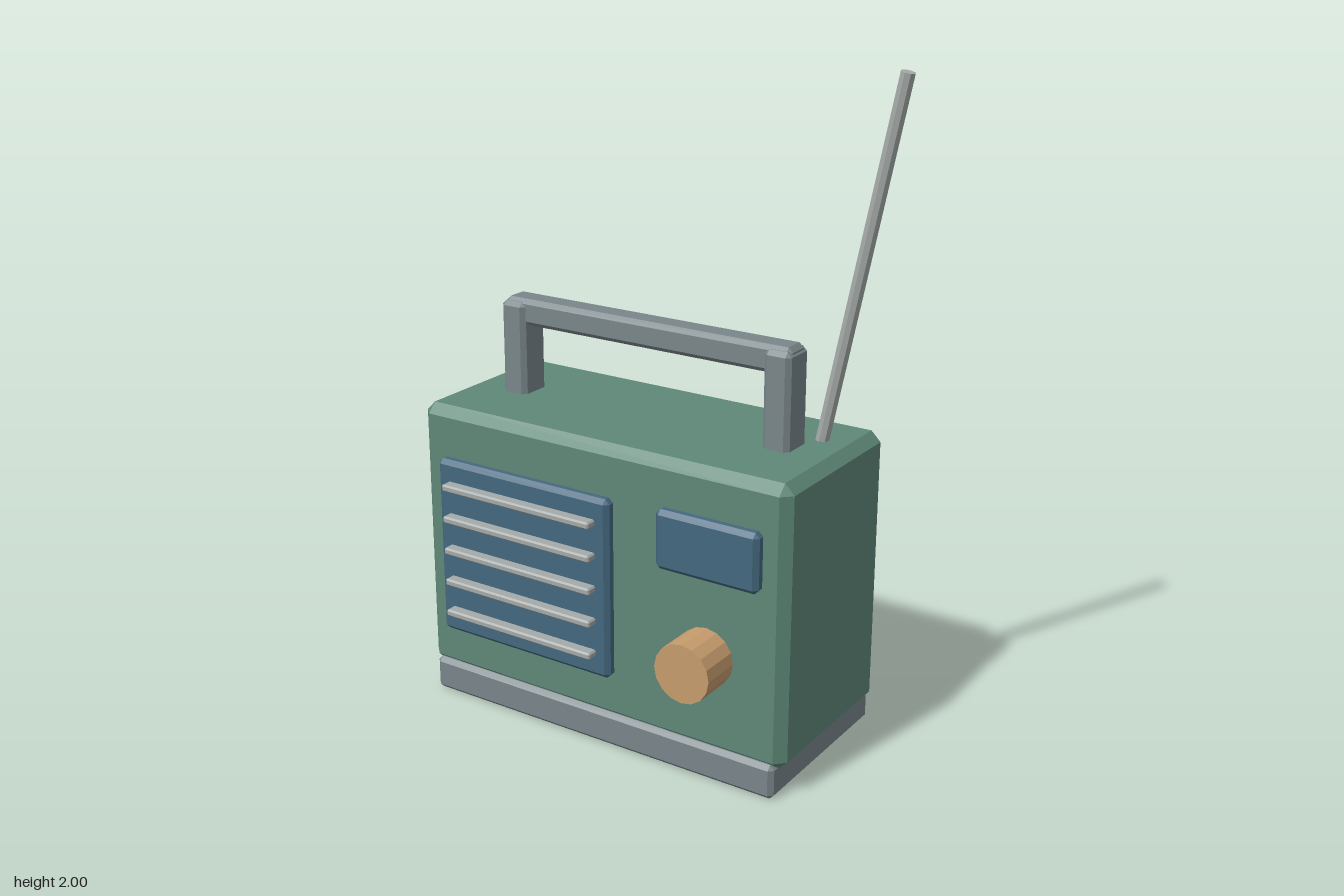
import * as THREE from 'three';
import { ConvexGeometry } from 'three/addons/geometries/ConvexGeometry.js';

const paint = (color) => new THREE.MeshStandardMaterial({ color, flatShading: true });
const green = paint(0x5f8878);
const blue = paint(0x44687f);
const grey = paint(0x7a868a);
const metal = paint(0xa4aaa9);
const tan = paint(0xc69c6d);

// Box between two corners with every edge chamfered by b
function chamferBox(name, min, max, b, material) {
  const half = max.map((v, i) => (v - min[i]) / 2);
  const points = [];
  for (const sx of [-1, 1]) for (const sy of [-1, 1]) for (const sz of [-1, 1]) {
    const s = [sx, sy, sz];
    for (let axis = 0; axis < 3; axis++) {
      points.push(new THREE.Vector3(...s.map((k, i) => k * (half[i] - (i === axis ? 0 : b)))));
    }
  }
  const mesh = new THREE.Mesh(new ConvexGeometry(points), material);
  mesh.position.set(...min.map((v, i) => v + half[i]));
  mesh.name = name;
  return mesh;
}

// Cylinder running from one point to another
function rod(name, from, to, radius, sides, material) {
  const a = new THREE.Vector3(...from);
  const b = new THREE.Vector3(...to);
  const mesh = new THREE.Mesh(new THREE.CylinderGeometry(radius, radius, a.distanceTo(b), sides), material);
  mesh.position.copy(a).lerp(b, 0.5);
  mesh.quaternion.setFromUnitVectors(new THREE.Vector3(0, 1, 0), b.sub(a).normalize());
  mesh.name = name;
  return mesh;
}

export function createModel() {
  const radio = new THREE.Group();
  radio.name = 'portableRadio';

  // Case and foot
  radio.add(chamferBox('case', [-0.7, 0.085, -0.335], [0.573, 0.947, 0.225], 0.03, green));
  radio.add(chamferBox('base', [-0.675, 0, -0.35], [0.547, 0.107, 0.235], 0.014, grey));

  // Speaker panel with its slats
  const speaker = new THREE.Group();
  speaker.name = 'speaker';
  speaker.add(chamferBox('speakerPanel', [-0.62, 0.23, 0.19], [0.005, 0.793, 0.256], 0.014, blue));
  for (let i = 0; i < 5; i++) {
    const y = 0.307 + i * 0.1027;
    speaker.add(chamferBox('speakerSlat', [-0.577, y - 0.011, 0.24], [-0.038, y + 0.011, 0.29], 0.005, metal));
  }
  radio.add(speaker);

  // Display and tuning knob
  radio.add(chamferBox('display', [0.164, 0.627, 0.19], [0.497, 0.807, 0.256], 0.014, blue));
  radio.add(rod('tuningKnob', [0.32, 0.386, 0.2], [0.32, 0.386, 0.353], 0.089, 16, tan));

  // Carrying handle
  const handle = new THREE.Group();
  handle.name = 'handle';
  for (const x of [-0.523, 0.394]) {
    handle.add(chamferBox('handlePost', [x - 0.043, 0.92, -0.113], [x + 0.043, 1.235, -0.002], 0.014, grey));
  }
  handle.add(chamferBox('handleBar', [-0.56, 1.163, -0.103], [0.432, 1.245, -0.015], 0.014, grey));
  radio.add(handle);

  // Leaning aerial
  radio.add(rod('antenna', [0.457, 0.92, -0.159], [0.675, 1.996, -0.159], 0.021, 8, metal));

  return radio;
}
